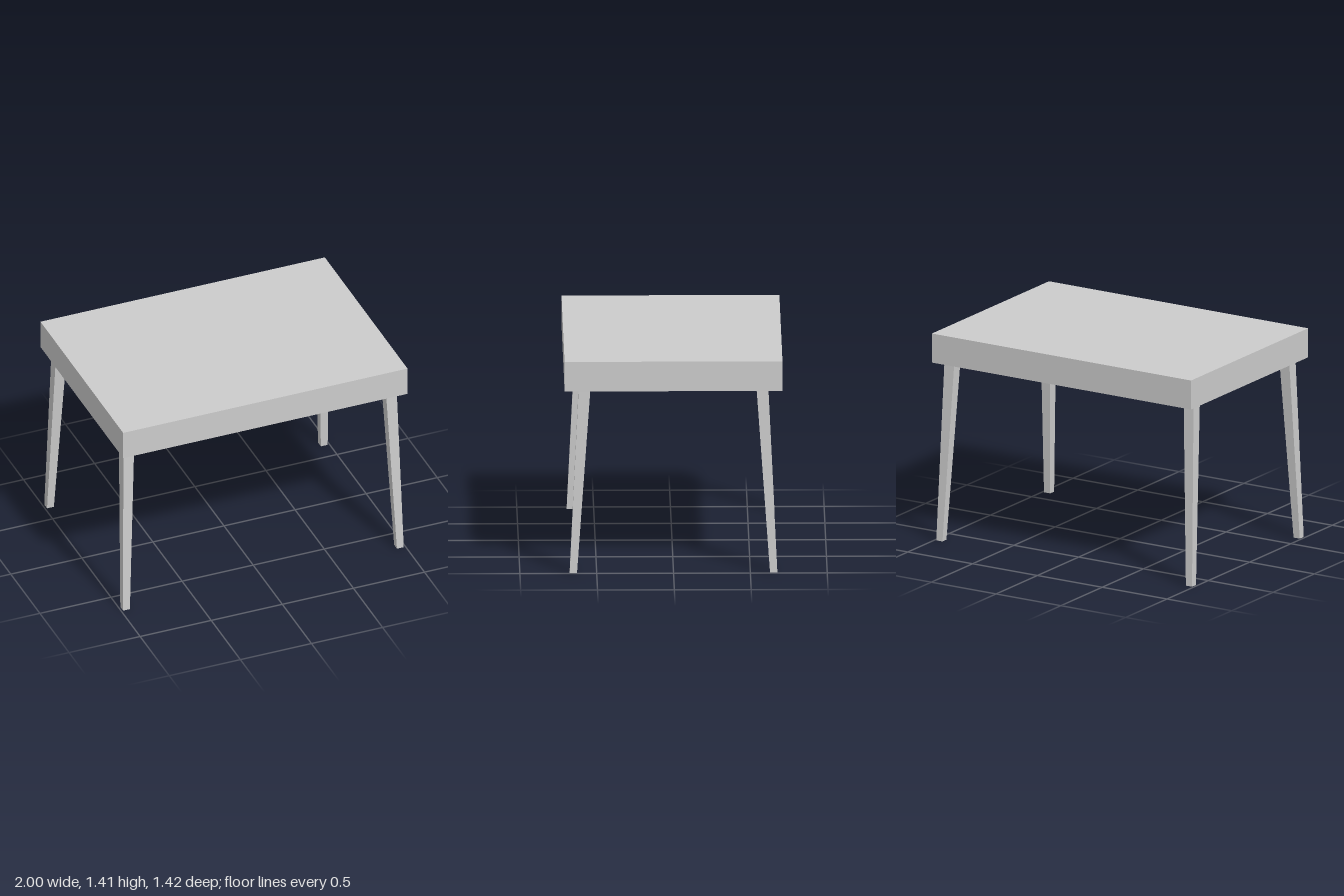
import * as THREE from 'three';

const TOP_HEIGHT = 1.41, TOP_UNDERSIDE = 1.213, HALF_DEPTH = 0.709;

// Square leg that tapers towards the foot and splays outwards
function legGeometry(sx, sz) {
  const geometry = new THREE.BoxGeometry(1, TOP_UNDERSIDE, 1);
  geometry.translate(0, TOP_UNDERSIDE / 2, 0);
  const pos = geometry.attributes.position;
  for (let i = 0; i < pos.count; i++) {
    const t = pos.getY(i) / TOP_UNDERSIDE;
    const width = THREE.MathUtils.lerp(0.048, 0.076, t);
    const cx = sx * THREE.MathUtils.lerp(0.963, 0.923, t);
    const cz = sz * THREE.MathUtils.lerp(0.652, 0.579, t);
    pos.setX(i, cx + pos.getX(i) * width);
    pos.setZ(i, cz + pos.getZ(i) * width);
  }
  geometry.computeVertexNormals();
  return geometry;
}

export function createModel() {
  const group = new THREE.Group();
  group.name = 'table';
  const material = new THREE.MeshStandardMaterial({ color: 0xcccccc, flatShading: true });

  // Thick slab top
  const thickness = TOP_HEIGHT - TOP_UNDERSIDE;
  const top = new THREE.Mesh(new THREE.BoxGeometry(2, thickness, HALF_DEPTH * 2), material);
  top.name = 'tableTop';
  top.position.y = TOP_UNDERSIDE + thickness / 2;
  group.add(top);

  // Four mirrored legs
  for (const sx of [-1, 1]) {
    for (const sz of [-1, 1]) {
      const leg = new THREE.Mesh(legGeometry(sx, sz), material);
      leg.name = (sz > 0 ? 'front' : 'back') + (sx > 0 ? 'Left' : 'Right') + 'Leg';
      group.add(leg);
    }
  }
  return group;
}
